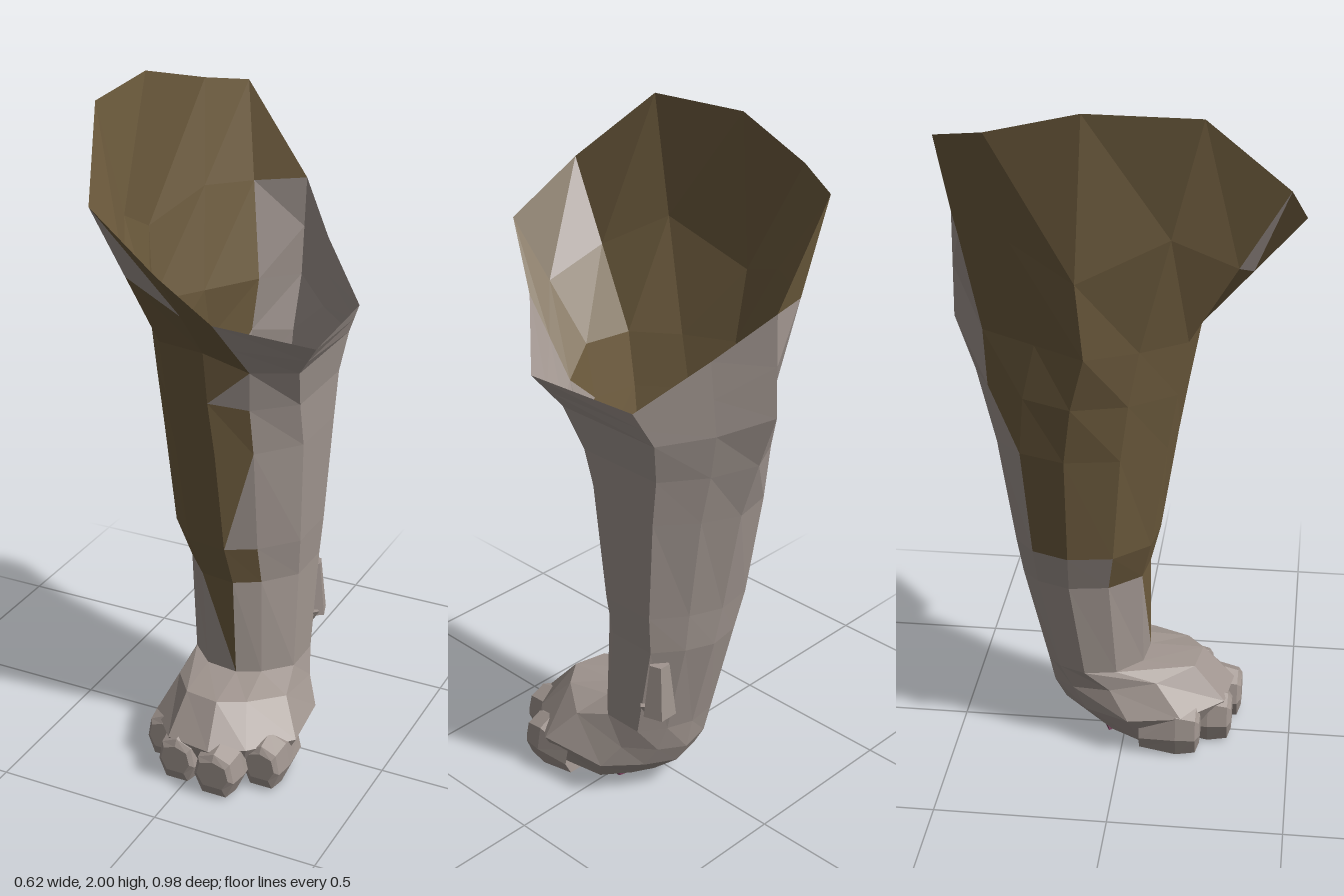
import * as THREE from 'three';

const mat = (name, color) => {
  const m = new THREE.MeshStandardMaterial({ color, flatShading: true, side: THREE.DoubleSide });
  m.name = name;
  return m;
};

// Skin a list of rings. Codes per level pick the colour of each quad:
// b = brown, g = grey, h / k = split along either diagonal, upper half brown.
function loft(rings, codes = []) {
  const out = { b: [], g: [] };
  for (let k = 0; k < rings.length - 1; k++) {
    const n = rings[k].length;
    for (let i = 0; i < n; i++) {
      const j = (i + 1) % n, code = codes[k]?.[i] ?? 'g';
      const a = rings[k][i], b = rings[k][j], c = rings[k + 1][j], d = rings[k + 1][i];
      if (code === 'k') {
        out.b.push(a, d, b);
        out.g.push(d, c, b);
      } else {
        out[code === 'h' ? 'b' : code].push(a, c, b);
        out[code === 'h' ? 'g' : code].push(a, d, c);
      }
    }
  }
  return out;
}

// Close a ring with a fan around its middle
function fan(ring) {
  const mid = [0, 1, 2].map(a => ring.reduce((s, p) => s + p[a], 0) / ring.length);
  return ring.flatMap((p, i) => [p, mid, ring[(i + 1) % ring.length]]);
}

function mesh(name, points, material) {
  const g = new THREE.BufferGeometry();
  g.setAttribute('position', new THREE.Float32BufferAttribute(points.flat(), 3));
  g.computeVertexNormals();
  const m = new THREE.Mesh(g, material);
  m.name = name;
  return m;
}

export function createModel() {
  const group = new THREE.Group();
  group.name = 'animalLeg';
  const grey = mat('greyFur', 0xa0958f);
  const brown = mat('brownFur', 0x6e5c3e);
  const plum = mat('plumPad', 0x78405c);

  // Slanted open rim at the shoulder, from front round the inner side to the back and outer side
  const rim = [
    [-0.18, 1.78, 0.45], [0.03, 1.64, 0.49], [0.11, 1.47, 0.34], [0.31, 1.36, 0.12],
    [0.285, 1.36, -0.24], [0.13, 1.5, -0.37], [0.01, 1.63, -0.485], [-0.18, 1.9, -0.485],
    [-0.25, 1.93, -0.34], [-0.3, 2, -0.08], [-0.28, 1.99, 0.23],
  ];
  // Unit cross-sections (x, z) in the same order: boxy lower leg, pointed elbow
  const legSection = [[-0.45, 0.92], [0.15, 1], [0.56, 0.78], [1, 0.3], [1, -0.5], [0.55, -0.82],
    [0.08, -1], [-0.48, -0.92], [-0.8, -0.65], [-1, -0.15], [-0.9, 0.45]];
  const elbowSection = [[-0.37, 0.93], [0.15, 1], [0.56, 0.85], [0.95, 0.6], [0.95, -0.4], [0.5, -0.7],
    [0.08, -1], [-0.26, -0.72], [-0.62, -0.26], [-0.95, 0.16], [-0.7, 0.57]];
  // Height, x and z extents, share of elbow section, rise to the front, dip inside, narrowing at the back
  const levels = [
    [1.33, -0.305, 0.255, -0.485, 0.21, 1, 0, 0.07, 0],
    [1.17, -0.27, 0.225, -0.43, 0.18, 0.5, 0, 0.03, 0],
    [1.0, -0.24, 0.215, -0.38, 0.15, 0.1, 0, 0, 0],
    [0.68, -0.21, 0.2, -0.325, 0.1, 0, 0, 0, 0],
    [0.56, -0.165, 0.19, -0.31, 0.07, 0, 0, 0, 0],
    [0.26, -0.14, 0.19, -0.24, 0.07, 0, 0, 0, 0],
    [0.21, -0.14, 0.215, -0.23, 0.23, 0, 0.04, 0, 0.05],
    [0.125, -0.185, 0.28, -0.2, 0.325, 0, 0.015, 0, 0.25],
    [0.02, -0.13, 0.22, -0.1, 0.27, 0, 0, 0, 0.3],
  ];
  const body = levels.map(([y, x0, x1, z0, z1, elbow, rise, dip, taper]) => legSection.map((p, i) => {
    const [u, v] = p.map((s, a) => s + (elbowSection[i][a] - s) * elbow);
    return [
      (x0 + x1) / 2 + u * (1 + taper * Math.min(0, v)) * (x1 - x0) / 2,
      y + rise * v - dip * Math.min(1, Math.max(0, 2 * u - 0.3)),
      (z0 + z1) / 2 + v * (z1 - z0) / 2,
    ];
  }));
  const upper = rim.map((p, i) => p.map((v, a) => (v + body[0][i][a]) / 2));
  upper[9] = [-0.31, 1.55, -0.1];

  const skin = loft([rim, upper, ...body], [
    'hbgggghbbbb',
    'bbgggggbbbb',
    'bkgggggbbbb',
    'bbggggghbbb',
    'bkggggggbbb',
    'bbggggggggb',
    'hgggggggggg',
  ]);
  group.add(mesh('greyCoat', [...skin.g, ...fan(body[body.length - 1])], grey));
  group.add(mesh('brownCoat', skin.b, brown));

  // Thin pads set through the sole, outlined in (x, z)
  const pad = (name, outline, y) => {
    const shape = new THREE.Shape(outline.map(([x, z]) => new THREE.Vector2(x, -z)));
    const g = new THREE.ExtrudeGeometry(shape, { depth: 0.009, bevelEnabled: false });
    g.rotateX(-Math.PI / 2);
    const p = new THREE.Mesh(g, plum);
    p.name = name;
    p.position.y = y;
    group.add(p);
  };
  pad('heelPadInner', [[0.04, -0.075], [0.05, 0.035], [0.15, -0.005], [0.15, -0.045]], 0.0145);
  pad('heelPadOuter', [[-0.07, -0.045], [-0.04, -0.015], [0.005, -0.005], [-0.035, -0.06]], 0.0145);
  pad('toePad', [[0.15, 0.13], [0.15, 0.18], [0.19, 0.16], [0.18, 0.12]], 0.006);

  // Toes: low faceted bulges along the rounded front of the paw
  const arch = [[-0.6, 0], [-1, 0.4], [-0.8, 0.85], [0, 1], [0.8, 0.85], [1, 0.4], [0.6, 0]];
  const toes = [[-0.115, 0.06, 0.235], [-0.025, 0.066, 0.325], [0.108, 0.072, 0.348], [0.213, 0.066, 0.25]];
  for (const [x, w, tip] of toes) {
    const rings = [
      [tip - 0.18, 0.8, 0.015, 0.12],
      [tip - 0.07, 1, 0.0, 0.16],
      [tip - 0.012, 0.88, 0.008, 0.145],
      [tip, 0.7, 0.04, 0.125],
    ].map(([z, s, y0, y1]) => arch.map(([u, v]) => [x + u * w * s, y0 + v * (y1 - y0), z]));
    group.add(mesh('toe', [...loft(rings).g, ...fan(rings[3])], grey));
  }

  // Dewclaw: a blunt knob with a small tip on the inner back of the leg
  const knob = new THREE.Mesh(new THREE.CylinderGeometry(0.03, 0.05, 0.17, 5), grey);
  knob.name = 'dewclaw';
  knob.position.set(0.165, 0.435, -0.225);
  const nail = new THREE.Mesh(new THREE.ConeGeometry(0.03, 0.05, 4), grey);
  nail.name = 'dewclawTip';
  nail.rotation.x = Math.PI;
  nail.position.set(0.175, 0.345, -0.19);
  group.add(knob, nail);

  return group;
}
